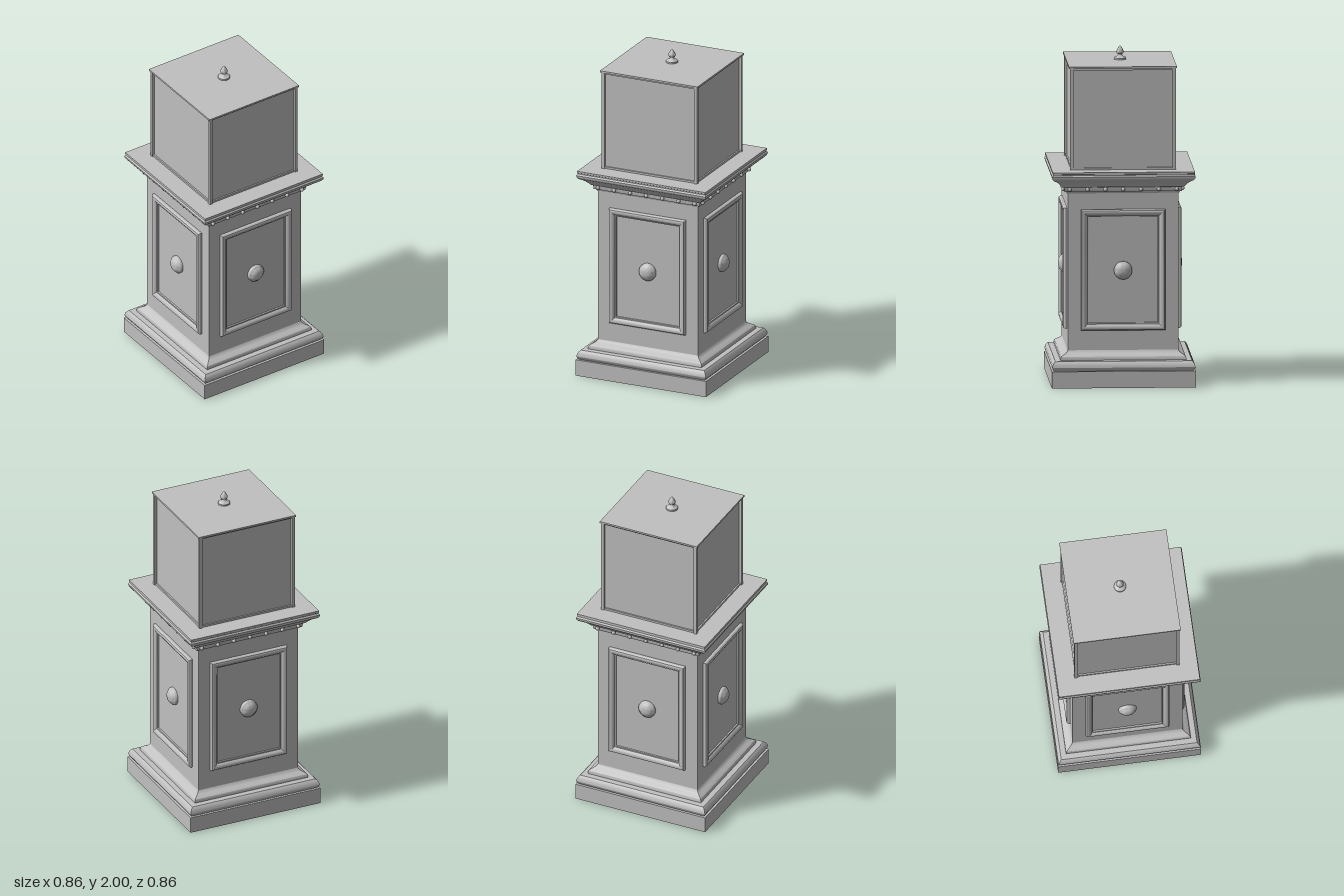
import * as THREE from 'three';
import { toCreasedNormals } from 'three/addons/utils/BufferGeometryUtils.js';

const stone = new THREE.MeshStandardMaterial({ color: 0xc0c0c0 });
stone.name = 'stone grey';

// Square moulding: sweeps [halfWidth, height] points around four mitred sides.
function squareSweep(profile) {
  const pts = profile.map(([h, y]) => new THREE.Vector2(h * Math.SQRT2, y));
  return new THREE.LatheGeometry(pts, 4, Math.PI / 4);
}

function turned(profile, sides, crease = 0.7) {
  const pts = profile.map(([r, y]) => new THREE.Vector2(r, y));
  return toCreasedNormals(new THREE.LatheGeometry(pts, sides), crease);
}

function add(parent, name, geometry, x = 0, y = 0, z = 0) {
  const mesh = new THREE.Mesh(geometry, stone);
  mesh.name = name;
  mesh.position.set(x, y, z);
  parent.add(mesh);
  return mesh;
}

export function createModel() {
  const model = new THREE.Group();
  model.name = 'pedestal';

  // Hollow stepped base, from the recessed underside round to the outer mouldings
  add(model, 'base', toCreasedNormals(squareSweep([
    [0, 0.16], [0.285, 0.16], [0.295, 0.14], [0.305, 0.125], [0.305, 0.1], [0.32, 0.09],
    [0.32, 0], [0.43, 0], [0.43, 0.1],
    [0.415, 0.1], [0.423, 0.11], [0.427, 0.122], [0.424, 0.137], [0.416, 0.15], [0.408, 0.158],
    [0.375, 0.16], [0.375, 0.172], [0.371, 0.181], [0.359, 0.19], [0.345, 0.197],
    [0.335, 0.206], [0.33, 0.215],
  ]), 0.45));

  // Shaft
  add(model, 'shaft', new THREE.BoxGeometry(0.66, 0.97, 0.66), 0, 0.685, 0);

  // Flared cornice
  add(model, 'cornice', toCreasedNormals(squareSweep([
    [0.32, 1.16], [0.335, 1.16], [0.34, 1.172], [0.35, 1.172], [0.352, 1.198],
    [0.362, 1.2], [0.372, 1.212], [0.386, 1.226], [0.402, 1.238], [0.418, 1.247],
    [0.426, 1.258], [0.428, 1.27], [0.421, 1.279], [0.421, 1.284], [0.424, 1.286],
    [0.424, 1.297], [0, 1.297],
  ]), 0.45));

  // Raised rectangular frame: a square sweep stretched along its height
  const frame = squareSweep([
    [0.252, 0.325], [0.252, 0.343], [0.246, 0.352], [0.238, 0.355], [0.228, 0.353],
    [0.219, 0.347], [0.214, 0.34], [0.207, 0.339], [0.205, 0.325],
  ]);
  frame.rotateX(Math.PI / 2);
  const pos = frame.attributes.position;
  for (let i = 0; i < pos.count; i++) {
    pos.setY(i, pos.getY(i) + Math.sign(pos.getY(i)) * 0.112);
  }
  const frameGeo = toCreasedNormals(frame, 0.5);

  const knobGeo = turned([
    [0.054, 0], [0.054, 0.016], [0.05, 0.021], [0.046, 0.023], [0.04, 0.031],
    [0.03, 0.038], [0.016, 0.042], [0, 0.043],
  ], 32).rotateX(Math.PI / 2);
  const beadGeo = new THREE.SphereGeometry(0.012, 12, 8);

  // The same panel, knob, beads and upper edging on all four sides
  for (let s = 0; s < 4; s++) {
    const side = new THREE.Group();
    side.name = 'side' + (s + 1);
    side.rotation.y = s * Math.PI / 2;
    add(side, 'panelFrame', frameGeo, 0, 0.698, 0);
    add(side, 'knob', knobGeo, 0, 0.695, 0.328);
    for (let i = -3; i <= 3; i++) add(side, 'bead', beadGeo, i * 0.1065, 1.185, 0.356);

    add(side, 'cornerPost', new THREE.BoxGeometry(0.02, 0.61, 0.02), 0.306, 1.602, 0.306);
    for (const y of [1.303, 1.901]) {
      add(side, 'edgeStrip', new THREE.BoxGeometry(0.6, 0.012, 0.014), 0, y, 0.302);
    }
    model.add(side);
  }

  // Upper block with a thin lid
  add(model, 'upperBlock', new THREE.BoxGeometry(0.6, 0.62, 0.6), 0, 1.605, 0);
  add(model, 'lid', new THREE.BoxGeometry(0.644, 0.011, 0.644), 0, 1.9125, 0);

  // Finial
  add(model, 'finial', turned([
    [0.036, 1.917], [0.036, 1.927], [0.031, 1.932], [0.02, 1.936], [0.014, 1.943],
    [0.012, 1.95], [0.019, 1.954], [0.022, 1.962], [0.021, 1.97], [0.014, 1.984],
    [0.006, 1.996], [0, 2],
  ], 24));

  return model;
}
